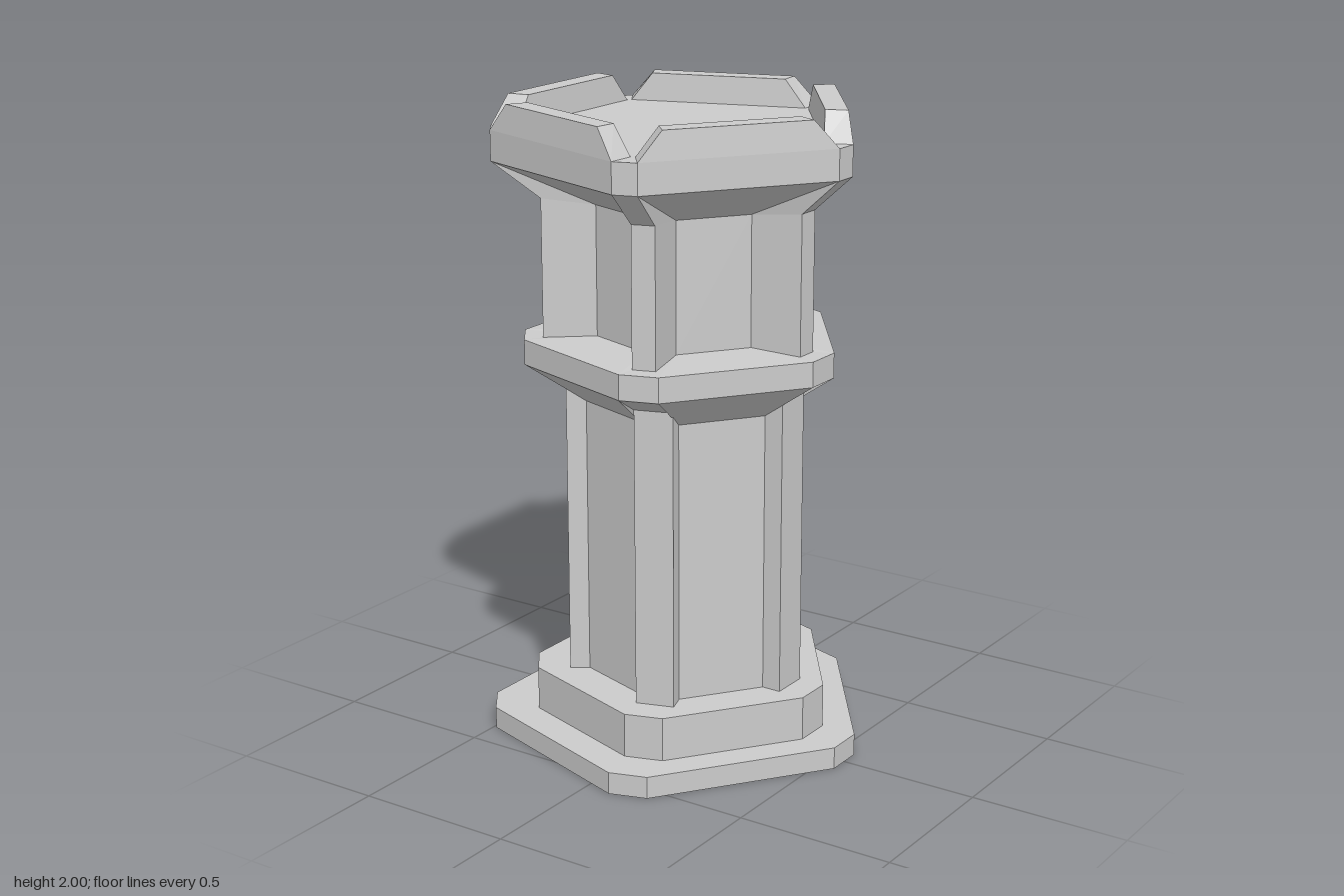
import * as THREE from 'three';

const DEG = Math.PI / 180;
const SIDES = 5;
const material = new THREE.MeshStandardMaterial({
  color: 0xcccccc, flatShading: true, side: THREE.DoubleSide,
});

// Pentagon with cut corners, described by its half extent in x and half width of the cuts
function pentagon(extent, cut) {
  const k = cut / Math.tan(54 * DEG);
  const apothem = (2 * extent + k) / (1 + 1 / Math.cos(36 * DEG));
  return {
    apothem,
    half: apothem * Math.tan(36 * DEG) - cut / Math.cos(36 * DEG),
    cx: apothem - extent - 0.003,
  };
}

// One cross-section: every side has two outer corners and two panel corners.
// The panel may sit deeper, be narrower, and be raised or lowered.
function ring(y, extent, cut, panel = {}) {
  const { apothem, half, cx } = pentagon(extent, cut);
  const { depth = 0, width = half, rise = 0 } = panel;
  const points = [];
  for (let i = 0; i < SIDES; i++) {
    const a = (36 + 72 * i) * DEG;
    const add = (out, along, h) => points.push(new THREE.Vector3(
      cx + out * Math.cos(a) - along * Math.sin(a), h,
      out * Math.sin(a) + along * Math.cos(a)));
    add(apothem, -half, y);
    add(apothem - depth, -width, y + rise);
    add(apothem - depth, width, y + rise);
    add(apothem, half, y);
  }
  return points;
}

// Joins successive rings with quads, leaving out empty triangles; optional flat cap on top
function loft(name, rings, cap = false) {
  const pos = [];
  const tri = (a, b, c) => {
    const area = b.clone().sub(a).cross(c.clone().sub(a)).length();
    if (area > 1e-7) pos.push(...a.toArray(), ...b.toArray(), ...c.toArray());
  };
  for (let k = 0; k + 1 < rings.length; k++) {
    const lo = rings[k], hi = rings[k + 1];
    for (let i = 0; i < lo.length; i++) {
      const j = (i + 1) % lo.length;
      tri(lo[j], lo[i], hi[i]);
      tri(lo[j], hi[i], hi[j]);
    }
  }
  if (cap) {
    const top = rings[rings.length - 1];
    for (let i = 1; i + 1 < top.length; i++) tri(top[0], top[i + 1], top[i]);
  }
  const geometry = new THREE.BufferGeometry();
  geometry.setAttribute('position', new THREE.Float32BufferAttribute(pos, 3));
  geometry.computeVertexNormals();
  const mesh = new THREE.Mesh(geometry, material);
  mesh.name = name;
  return mesh;
}

export function createModel() {
  const tower = new THREE.Group();
  tower.name = 'tower';

  // Shared cross-sections
  const shaftFoot = ring(0.207, 0.358, 0.06, { depth: 0.05, width: 0.137 });
  const shaftHead = ring(1.14, 0.358, 0.06, { depth: 0.05, width: 0.137, rise: -0.055 });
  const collarTop = ring(1.278, 0.462, 0.06);
  const upperFoot = ring(1.278, 0.4025, 0.036, { depth: 0.125, width: 0.118, rise: 0.007 });
  const upperHead = ring(1.708, 0.4025, 0.036, { depth: 0.125, width: 0.118, rise: -0.018 });

  // Stepped base, hollow and open underneath
  tower.add(loft('base', [
    ring(0, 0.558, 0.06), ring(0.069, 0.558, 0.06),
    ring(0.069, 0.443, 0.06), ring(0.207, 0.443, 0.06), shaftFoot,
  ]));

  // Shaft with corner ribs and recessed panels
  tower.add(loft('shaft', [shaftFoot, shaftHead]));

  // Flared collar
  tower.add(loft('collar', [shaftHead, ring(1.2, 0.462, 0.06), collarTop, upperFoot]));

  // Upper storey with deep recesses
  tower.add(loft('upperStorey', [upperFoot, upperHead]));

  // Flared crown with a flat deck
  tower.add(loft('crown', [
    upperHead, ring(1.82, 0.5265, 0.038), ring(1.914, 0.5265, 0.038),
  ], true));

  // Parapet wall with slanted ends on each side
  const { apothem: a, half, cx } = pentagon(0.5265, 0.038);
  const section = (y, outer, outerHalf, inner, innerHalf) => [
    [outer, -outerHalf], [outer, outerHalf], [inner, innerHalf], [inner, -innerHalf],
  ].map(([x, z]) => new THREE.Vector3(x, y, z));
  for (let i = 0; i < SIDES; i++) {
    const wall = loft('parapet', [
      section(1.914, a, half, a - 0.083, 0.282),
      section(2, a - 0.008, 0.228, a - 0.075, 0.215),
    ], true);
    wall.position.x = cx;
    wall.rotation.y = -(36 + 72 * i) * DEG;
    tower.add(wall);
  }
  return tower;
}
